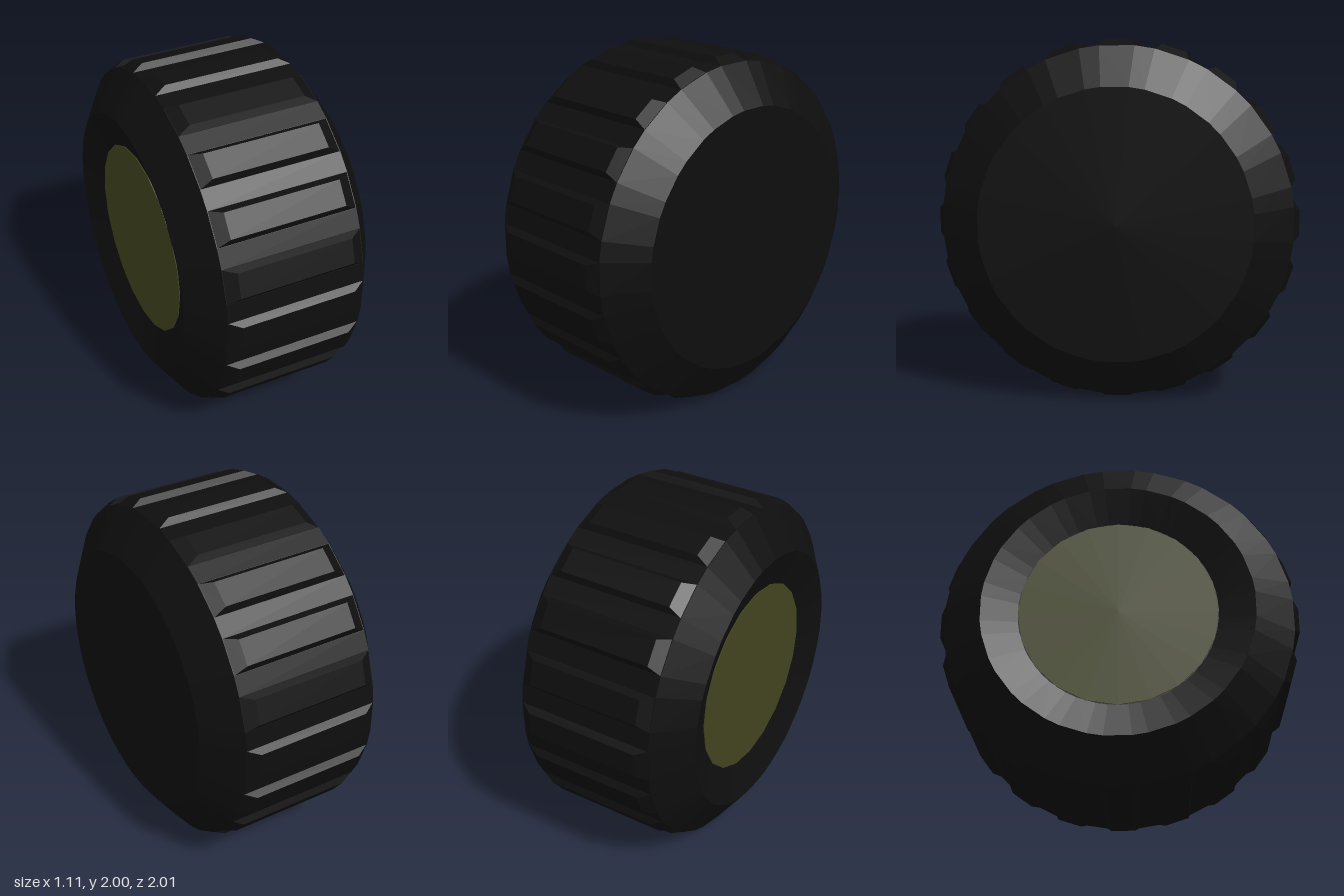
import * as THREE from 'three';
import { ConvexGeometry } from 'three/addons/geometries/ConvexGeometry.js';

const TREADS = 20;
const STEP = (Math.PI * 2) / TREADS;
const BASE_HALF = 0.1;   // half angle of a tread block at its foot
const TOP_HALF = 0.07;   // half angle at its top

export function createModel() {
  const rubber = new THREE.MeshStandardMaterial({ color: 0x0e0e0e, flatShading: true });
  rubber.name = 'black rubber';
  const olive = new THREE.MeshStandardMaterial({ color: 0x41441f, flatShading: true });
  olive.name = 'olive hub';

  const wheel = new THREE.Group();
  wheel.name = 'wheel';

  // Tyre: flat cap on +x, shallow conical recess on -x
  const profile = [
    [0, -0.48], [0.55, -0.48], [0.75, -0.55], [0.97, -0.4],
    [0.97, 0.4], [0.75, 0.55], [0, 0.55],
  ].map(([r, x]) => new THREE.Vector2(r, x));
  const tyreGeo = new THREE.LatheGeometry(profile, TREADS * 2);
  // Alternate wide and narrow facets so the treads sit on the wide ones
  const pos = tyreGeo.attributes.position;
  for (let n = 0; n < pos.count; n++) {
    const i = Math.floor(n / profile.length);
    const r = profile[n % profile.length].x;
    const a = Math.floor(i / 2) * STEP + (i % 2 ? BASE_HALF : -BASE_HALF);
    pos.setX(n, r * Math.sin(a));
    pos.setZ(n, r * Math.cos(a));
  }
  tyreGeo.rotateZ(-Math.PI / 2);
  tyreGeo.computeVertexNormals();
  const tyre = new THREE.Mesh(tyreGeo, rubber);
  tyre.name = 'tyre';
  wheel.add(tyre);

  // Tread blocks: bevelled bars across the running surface
  const corners = [];
  for (const sx of [-1, 1]) {
    for (const sa of [-1, 1]) {
      const put = (x, r, a) => corners.push(
        new THREE.Vector3(sx * x, r * Math.sin(sa * a), r * Math.cos(a)));
      put(0.4, 0.968, BASE_HALF);
      put(0.33, 1.0025, TOP_HALF);
    }
  }
  const treadGeo = new ConvexGeometry(corners);
  const treads = new THREE.Group();
  treads.name = 'treads';
  for (let i = 0; i < TREADS; i++) {
    const tread = new THREE.Mesh(treadGeo, rubber);
    tread.name = 'treadBlock';
    tread.rotation.x = i * STEP;
    treads.add(tread);
  }
  wheel.add(treads);

  // Hub plate at the bottom of the recess
  const hub = new THREE.Mesh(new THREE.CylinderGeometry(0.55, 0.55, 0.008, 20), olive);
  hub.name = 'hubPlate';
  hub.rotation.z = Math.PI / 2;
  hub.position.x = -0.481;
  wheel.add(hub);

  // Slight toe angle
  wheel.rotation.y = 0.008;
  wheel.position.y = 1;

  const model = new THREE.Group();
  model.name = 'wheelModel';
  model.add(wheel);
  return model;
}
